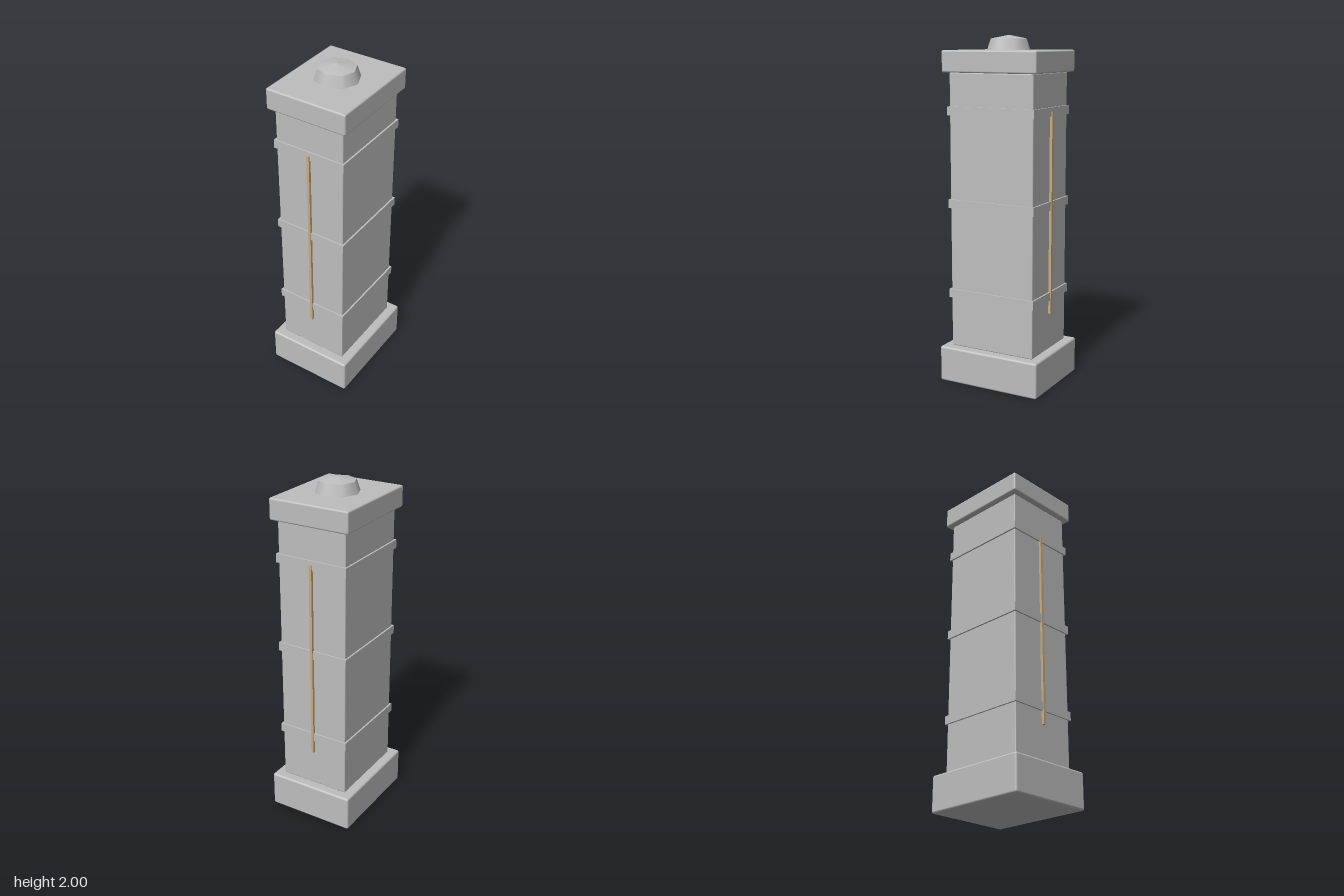
import * as THREE from 'three';
import { RoundedBoxGeometry } from 'three/addons/geometries/RoundedBoxGeometry.js';

export function createModel() {
  const model = new THREE.Group();
  model.name = 'stonePillar';
  const stone = new THREE.MeshStandardMaterial({ color: 0xbebebe });
  stone.name = 'grey stone';
  const inlay = new THREE.MeshStandardMaterial({ color: 0xc8ac82 });
  inlay.name = 'tan inlay';

  function add(name, geometry, material, x, y, z) {
    const mesh = new THREE.Mesh(geometry, material);
    mesh.name = name;
    mesh.position.set(x, y, z);
    model.add(mesh);
  }

  // Softly bevelled block standing between two heights
  function block(name, width, depth, y0, y1, bevel) {
    const geometry = new RoundedBoxGeometry(width, y1 - y0, depth, 2, bevel);
    add(name, geometry, stone, 0, (y0 + y1) / 2, 0);
  }

  block('base', 0.525, 0.63, 0, 0.21, 0.012);
  block('shaft', 0.42, 0.525, 0.21, 1.795, 0.006);
  block('cap', 0.484, 0.589, 1.795, 1.917, 0.01);

  // Raised bands round the shaft
  for (const y of [0.528, 1.055, 1.582]) {
    add('band', new THREE.BoxGeometry(0.44, 0.05, 0.545), stone, 0, y, 0);
  }

  // Thin vertical strips on the front and back
  for (const side of [1, -1]) {
    add('inlayStrip', new THREE.BoxGeometry(0.016, 1.16, 0.02), inlay, 0, 1.005, side * 0.268);
  }

  // Eight-sided finial with a shallow pointed top
  add('finialBody', new THREE.CylinderGeometry(0.105, 0.126, 0.063, 8), stone, 0, 1.9485, 0);
  add('finialTop', new THREE.ConeGeometry(0.105, 0.02, 8, 1, true), stone, 0, 1.99, 0);

  return model;
}
